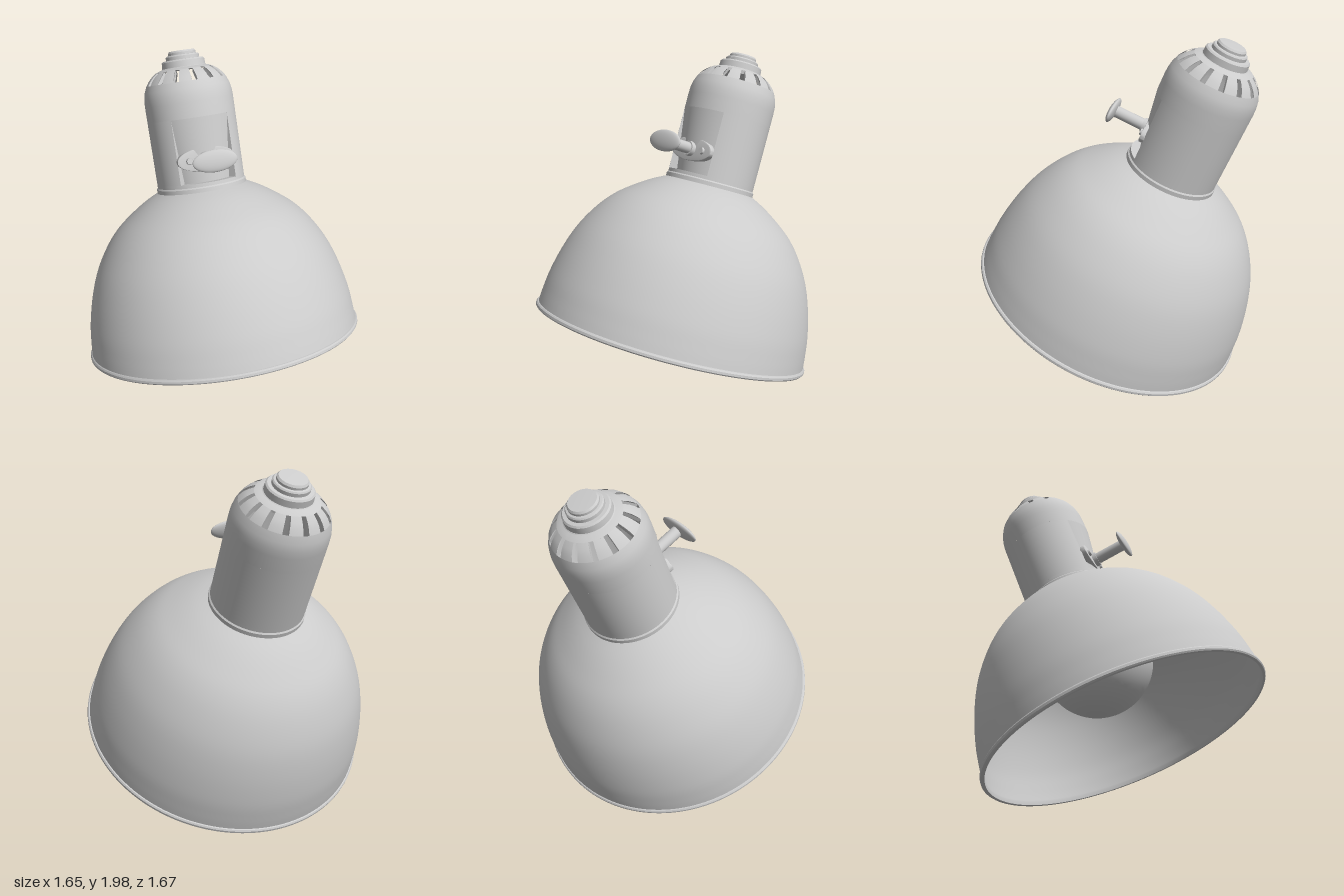
import * as THREE from 'three';
import { toCreasedNormals } from 'three/addons/utils/BufferGeometryUtils.js';

const mat = new THREE.MeshStandardMaterial({ color: 0xcccccc, side: THREE.DoubleSide });
const R = 0.267;             // neck housing radius
const HANDLE = Math.PI / 2 - 0.11; // azimuth of the handle in lathe angle
const HALF = 0.68;           // half angle of the recessed panel

function add(parent, name, geometry, x = 0, y = 0, z = 0) {
  const mesh = new THREE.Mesh(geometry, mat);
  mesh.name = name;
  mesh.position.set(x, y, z);
  parent.add(mesh);
  return mesh;
}

// Turned part from [radius, height] pairs, optionally only an arc of it
function turned(pairs, segments = 96, start = 0, length = Math.PI * 2) {
  const pts = pairs.map(([r, y]) => new THREE.Vector2(r, y));
  return toCreasedNormals(new THREE.LatheGeometry(pts, segments, start, length), 0.5);
}

export function createModel() {
  const model = new THREE.Group();
  const lamp = new THREE.Group();
  lamp.name = 'lampHead';
  lamp.position.set(0.025, 0.337, 0.003);
  lamp.rotation.set(0, -0.56, 0.3815, 'YXZ');
  model.add(lamp);

  // Bell shade with wall thickness and a beaded rim
  const curve = new THREE.SplineCurve([
    [0.834, 0.03], [0.828, 0.1], [0.812, 0.22], [0.772, 0.38], [0.715, 0.53], [0.635, 0.665],
    [0.55, 0.765], [0.45, 0.845], [0.35, 0.91], [0.25, 0.96],
  ].map(([x, y]) => new THREE.Vector2(x, y))).getPoints(40).map(p => [p.x, p.y]);
  const inner = curve.map(([r, y]) => [r - 0.014, y - 0.012]).reverse();
  add(lamp, 'shade', turned([
    [0.825, 0], [0.84, 0], [0.846, 0.007], [0.846, 0.02], [0.84, 0.028],
    ...curve, ...inner, [0.825, 0],
  ], 128));

  // Bulb and its socket
  add(lamp, 'bulb', new THREE.SphereGeometry(0.33, 48, 32), 0, 0.5, 0);
  add(lamp, 'bulbSocket', new THREE.CylinderGeometry(0.13, 0.15, 0.35, 32), 0, 0.94, 0);

  // Neck housing: foot ring, wall around the recess, inward-leaning panel
  const low = 1.0, high = 1.38, deep = 0.217;
  add(lamp, 'footRing', turned([[0.25, 0.93], [0.274, 0.945], [0.274, 0.972], [R, 0.98], [R, low]]));
  add(lamp, 'housingWall', turned([[R, low], [R, high]], 80, HANDLE + HALF, Math.PI * 2 - 2 * HALF));
  add(lamp, 'recessPanel', turned([[R, low], [deep, low], [R, high]], 24, HANDLE - HALF, 2 * HALF));
  for (const side of [-1, 1]) {
    const a = HANDLE + side * HALF;
    const corners = [[R, low], [deep, low], [R, high]]
      .flatMap(([r, y]) => [r * Math.sin(a), y, r * Math.cos(a)]);
    const wall = new THREE.BufferGeometry();
    wall.setAttribute('position', new THREE.Float32BufferAttribute(corners, 3));
    wall.computeVertexNormals();
    add(lamp, 'recessSide', wall);
  }

  // Rounded shoulder with a ring of open ventilation slots
  add(lamp, 'housingTop', turned([[R, high], [R, 1.47], [0.265, 1.51], [0.257, 1.55], [0.24, 1.59]]));
  add(lamp, 'shoulderTop', turned([[0.172, 1.658], [0.15, 1.668], [0.1, 1.68]]));
  const slots = 14, step = Math.PI * 2 / slots, gap = 0.14;
  for (let i = 0; i < slots; i++) {
    const start = HANDLE + i * step + gap / 2;
    add(lamp, 'ventRib', turned([[0.24, 1.59], [0.222, 1.616], [0.2, 1.638], [0.172, 1.658]], 6, start, step - gap));
    // thickness of the slot edges
    for (const a of [start, start + step - gap]) {
      const edge = [[0.24, 1.59], [0.172, 1.658], [0.225, 1.575], [0.16, 1.64]]
        .flatMap(([r, y]) => [r * Math.sin(a), y, r * Math.cos(a)]);
      const g = new THREE.BufferGeometry();
      g.setAttribute('position', new THREE.Float32BufferAttribute(edge, 3));
      g.setIndex([0, 1, 2, 1, 3, 2]);
      g.computeVertexNormals();
      add(lamp, 'slotEdge', g);
    }
  }

  // Stepped cap
  add(lamp, 'capCollar', turned([
    [0.145, 1.665], [0.13, 1.675], [0.128, 1.71], [0.12, 1.718], [0.09, 1.72],
  ], 64));
  add(lamp, 'capKnob', turned([
    [0.1, 1.715], [0.1, 1.738], [0.094, 1.745], [0.083, 1.747], [0.083, 1.76], [0.075, 1.77], [0, 1.773],
  ], 64));

  // Handle: oval mounting plate, screws, stem and oval paddle
  const handle = new THREE.Group();
  handle.name = 'handle';
  handle.position.y = 1.135;
  handle.rotation.y = -0.11;
  lamp.add(handle);

  const oval = new THREE.Shape();
  oval.absellipse(0, 0, 0.168, 0.066, 0, Math.PI * 2);
  const plate = new THREE.ExtrudeGeometry(oval, {
    depth: 0.03, curveSegments: 32, bevelSize: 0.004, bevelThickness: 0.004, bevelSegments: 2,
  });
  add(handle, 'mountingPlate', toCreasedNormals(plate.rotateY(Math.PI / 2), 0.6), 0.2, 0, 0);
  for (const side of [-1, 1]) {
    const screw = add(handle, 'screw', new THREE.CylinderGeometry(0.018, 0.022, 0.02, 20), 0.238, 0, side * 0.1);
    screw.rotation.z = -Math.PI / 2;
  }
  const collar = add(handle, 'stemCollar', new THREE.CylinderGeometry(0.042, 0.046, 0.03, 28), 0.245, 0, 0);
  collar.rotation.z = -Math.PI / 2;
  const stem = add(handle, 'stem', new THREE.CylinderGeometry(0.034, 0.034, 0.22, 28), 0.335, 0, 0);
  stem.rotation.z = -Math.PI / 2;
  add(handle, 'paddle', new THREE.SphereGeometry(1, 40, 24).scale(0.022, 0.063, 0.13), 0.445, 0, 0);

  return model;
}
